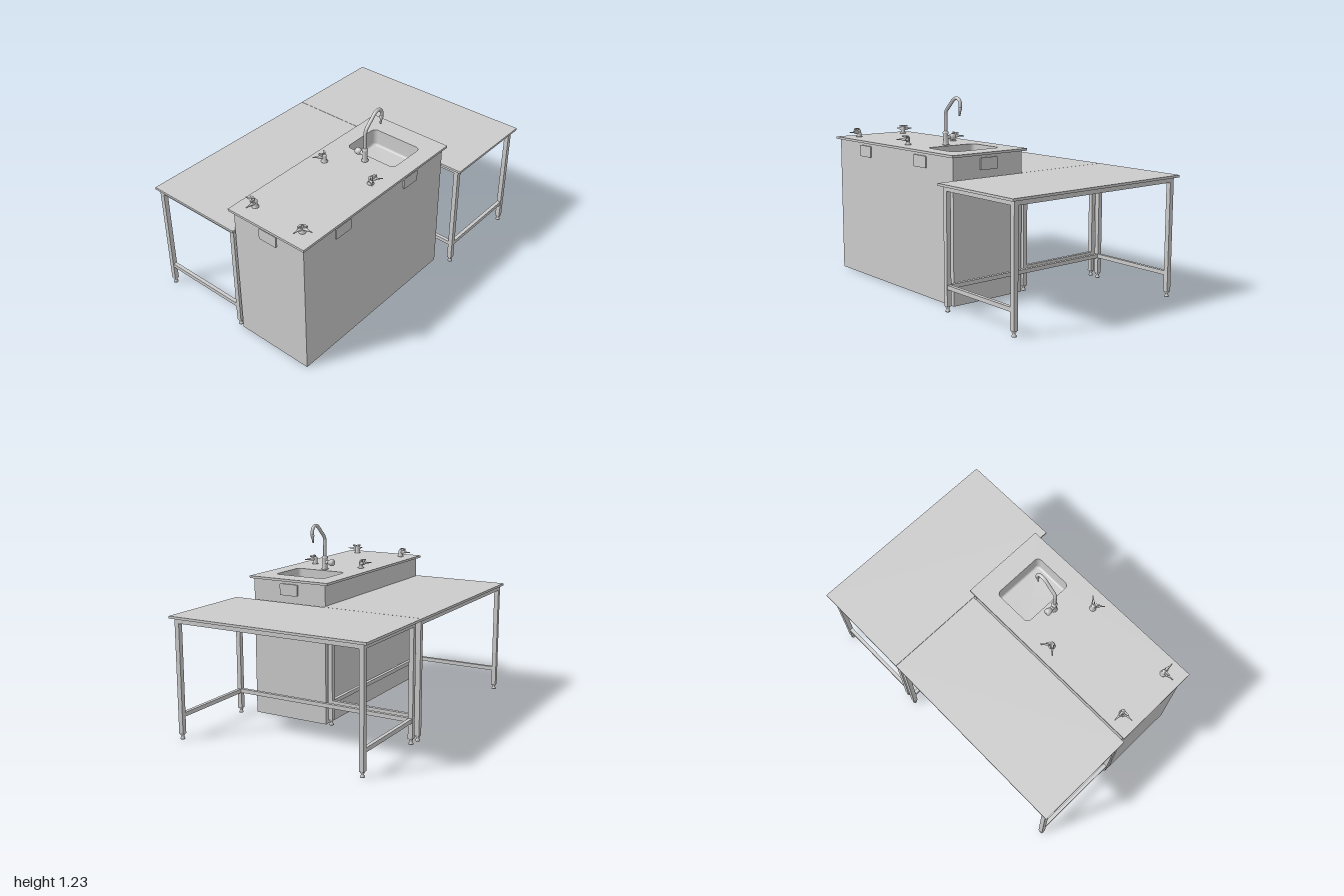
import * as THREE from 'three';

const grey = new THREE.MeshStandardMaterial({ color: 0xcccccc });
const greyDouble = new THREE.MeshStandardMaterial({ color: 0xcccccc, side: THREE.DoubleSide });

function add(parent, name, geometry, x = 0, y = 0, z = 0, material = grey) {
  const mesh = new THREE.Mesh(geometry, material);
  mesh.name = name;
  mesh.position.set(x, y, z);
  parent.add(mesh);
  return mesh;
}

// Box given by its lower and upper limits on each axis
function box(parent, name, x0, x1, y0, y1, z0, z1) {
  return add(parent, name, new THREE.BoxGeometry(x1 - x0, y1 - y0, z1 - z0),
    (x0 + x1) / 2, (y0 + y1) / 2, (z0 + z1) / 2);
}

function lathe(points, segments = 20) {
  return new THREE.LatheGeometry(points.map(([r, y]) => new THREE.Vector2(r, y)), segments);
}

// Outlines run counter-clockwise
function roundedRect(Type, w, h, r, cx = 0, cy = 0) {
  const s = new Type();
  const a = w / 2 - r, b = h / 2 - r;
  s.absarc(cx + a, cy + b, r, 0, Math.PI / 2);
  s.absarc(cx - a, cy + b, r, Math.PI / 2, Math.PI);
  s.absarc(cx - a, cy - b, r, Math.PI, Math.PI * 1.5);
  s.absarc(cx + a, cy - b, r, Math.PI * 1.5, Math.PI * 2);
  s.closePath();
  return s;
}

function rect(Type, x0, x1, z0, z1) {
  return new Type([[x0, -z1], [x1, -z1], [x1, -z0], [x0, -z0]].map(([x, y]) => new THREE.Vector2(x, y)));
}

// Upright extrusion of an outline with an opening
function slab(shape, hole, height) {
  shape.holes.push(hole);
  return new THREE.ExtrudeGeometry(shape, { depth: height, bevelEnabled: false, curveSegments: 8 })
    .rotateX(-Math.PI / 2);
}

// Table: top, apron frame, legs with feet, two end rails and one long rail
function table(name, x0, x1, z0, z1, insetZ, longRail) {
  const g = new THREE.Group();
  g.name = name;
  const insetX = 0.02, w = 0.03;
  box(g, 'tableTop', x0, x1, 0.75, 0.765, z0, z1);
  const a0 = x0 + insetX, a1 = x1 - insetX, b0 = z0 + insetZ, b1 = z1 - insetZ;
  const foot = lathe([[0, 0], [0.014, 0], [0.015, 0.006], [0.009, 0.014], [0.009, 0.022], [0.013, 0.026], [0.013, 0.034], [0, 0.034]], 16);
  for (const x of [a0, a1 - w]) {
    for (const z of [b0, b1 - w]) {
      box(g, 'leg', x, x + w, 0.034, 0.75, z, z + w);
      add(g, 'foot', foot, x + w / 2, 0, z + w / 2);
    }
    box(g, 'apron', x, x + w, 0.721, 0.75, b0 + w, b1 - w);
  }
  for (const z of [b0, b1 - w]) box(g, 'apron', a0 + w, a1 - w, 0.721, 0.75, z, z + w);
  const y0 = 0.138, y1 = 0.164;
  if (longRail === 'z') {
    box(g, 'longRail', a0 + 0.003, a0 + w - 0.003, y0, y1, b0 + w, b1 - w);
    for (const z of [b0, b1 - w]) box(g, 'endRail', a0 + w, a1 - w, y0, y1, z + 0.003, z + w - 0.003);
  } else {
    box(g, 'longRail', a0 + w, a1 - w, y0, y1, b1 - w + 0.003, b1 - 0.003);
    for (const x of [a0, a1 - w]) box(g, 'endRail', x + 0.003, x + w - 0.003, y0, y1, b0 + w, b1 - w);
  }
  return g;
}

// Basin lofted from shrinking rounded rectangles
function basinGeometry() {
  const sections = [[0.27, 0.36, 0.03, 0], [0.268, 0.358, 0.03, -0.095], [0.264, 0.354, 0.029, -0.104],
    [0.254, 0.344, 0.027, -0.11], [0.24, 0.33, 0.025, -0.112], [0.002, 0.002, 0.0009, -0.115]];
  const pos = [], index = [];
  sections.forEach(([w, h, r, y], i) => {
    const pts = roundedRect(THREE.Shape, w, h, r).getPoints(8);
    const n = pts.length;
    for (const p of pts) pos.push(p.x, y, -p.y);
    if (!i) return;
    for (let j = 0; j < n - 1; j++) {
      const a = (i - 1) * n + j, b = i * n + j;
      index.push(a, a + 1, b, a + 1, b + 1, b);
    }
  });
  const geo = new THREE.BufferGeometry();
  geo.setAttribute('position', new THREE.Float32BufferAttribute(pos, 3));
  geo.setIndex(index);
  geo.computeVertexNormals();
  return geo;
}

// Swan-neck faucet with a side knob
function faucet() {
  const g = new THREE.Group();
  g.name = 'faucet';
  add(g, 'faucetBase', lathe([[0, 0], [0.022, 0], [0.022, 0.006], [0.016, 0.012], [0.016, 0.07], [0.019, 0.074], [0.019, 0.082], [0.012, 0.09], [0, 0.09]]));
  const V = (x, y) => new THREE.Vector3(x, y, 0);
  const path = new THREE.CurvePath();
  path.add(new THREE.LineCurve3(V(0, 0.08), V(0, 0.19)));
  path.add(new THREE.QuadraticBezierCurve3(V(0, 0.19), V(0, 0.212), V(0.015, 0.227)));
  path.add(new THREE.LineCurve3(V(0.015, 0.227), V(0.08, 0.288)));
  path.add(new THREE.CubicBezierCurve3(V(0.08, 0.288), V(0.112, 0.318), V(0.162, 0.305), V(0.155, 0.245)));
  add(g, 'spout', new THREE.TubeGeometry(path, 60, 0.011, 14));
  const nozzle = add(g, 'nozzle', lathe([[0, 0], [0.005, 0], [0.008, 0.03], [0.012, 0.046], [0.012, 0.056], [0, 0.056]]), 0.146, 0.194, 0);
  nozzle.rotation.z = -0.16;
  const valve = add(g, 'valveStem', new THREE.CylinderGeometry(0.013, 0.013, 0.04, 16), 0, 0.048, -0.022);
  valve.rotation.x = -Math.PI / 2;
  const knob = add(g, 'knob', lathe([[0, 0], [0.014, 0], [0.022, 0.016], [0.022, 0.034], [0.016, 0.041], [0, 0.041]], 10), 0, 0.048, -0.029);
  knob.rotation.x = -Math.PI / 2;
  return g;
}

// Twin tap: column with two tapered outlets and levers at right angles
function twinTap(x, z, facing) {
  const g = new THREE.Group();
  g.name = 'twinTap';
  g.position.set(x, 0.915, z);
  add(g, 'tapColumn', lathe([[0, 0], [0.021, 0], [0.021, 0.005], [0.014, 0.009], [0.014, 0.044], [0.009, 0.05], [0, 0.05]]));
  for (const side of [-1, 1]) {
    const arm = new THREE.Group();
    arm.name = 'tapOutlet';
    arm.rotation.y = facing + side * Math.PI / 4;
    const spout = add(arm, 'outletNozzle', lathe([[0, 0], [0.011, 0], [0.011, 0.028], [0.006, 0.031], [0.008, 0.038], [0.005, 0.043], [0.003, 0.073], [0, 0.073]], 14), 0, 0.033, 0);
    spout.rotation.z = -Math.PI / 2;
    add(arm, 'leverStem', new THREE.CylinderGeometry(0.008, 0.008, 0.024, 12), 0.018, 0.046, 0);
    box(arm, 'lever', 0.006, 0.036, 0.048, 0.058, -0.005, 0.005);
    g.add(arm);
  }
  return g;
}

export function createModel() {
  const model = new THREE.Group();
  model.name = 'laboratoryBench';

  // Hollow cabinet, open below
  add(model, 'cabinet', slab(rect(THREE.Shape, -0.978, 0.308, 0.005, 0.535), rect(THREE.Path, -0.968, 0.298, 0.015, 0.525), 0.9));

  // Worktop with sink opening
  const sinkX = 0.06, sinkZ = 0.267;
  add(model, 'worktop', slab(rect(THREE.Shape, -1, 0.33, -0.02, 0.556), roundedRect(THREE.Path, 0.27, 0.36, 0.03, sinkX, -sinkZ), 0.015), 0, 0.9, 0);
  add(model, 'sinkBasin', basinGeometry(), sinkX, 0.914, sinkZ, greyDouble);

  // Cover plates on front and both ends
  const plate = new THREE.ExtrudeGeometry(roundedRect(THREE.Shape, 0.13, 0.074, 0.006), { depth: 0.009, bevelEnabled: false, curveSegments: 4 });
  add(model, 'coverPlate', plate, -0.65, 0.845, 0.535);
  add(model, 'coverPlate', plate, -0.025, 0.845, 0.535);
  add(model, 'coverPlate', plate, 0.308, 0.845, 0.27).rotation.y = Math.PI / 2;
  add(model, 'coverPlate', plate, -0.978, 0.845, 0.27).rotation.y = -Math.PI / 2;

  // Fittings
  const tap = faucet();
  tap.position.set(-0.125, 0.915, 0.268);
  model.add(tap);
  model.add(twinTap(-0.885, 0.086, Math.PI * 0.75), twinTap(-0.885, 0.445, -Math.PI * 0.75));
  model.add(twinTap(-0.29, 0.086, Math.PI / 2), twinTap(-0.29, 0.445, -Math.PI / 2));

  // Tables beside and behind the cabinet
  model.add(table('sideTable', 0.331, 1, -0.665, 0.665, 0.027, 'z'));
  model.add(table('backTable', -1, 0.329, -0.665, 0.004, 0.017, 'x'));
  return model;
}
